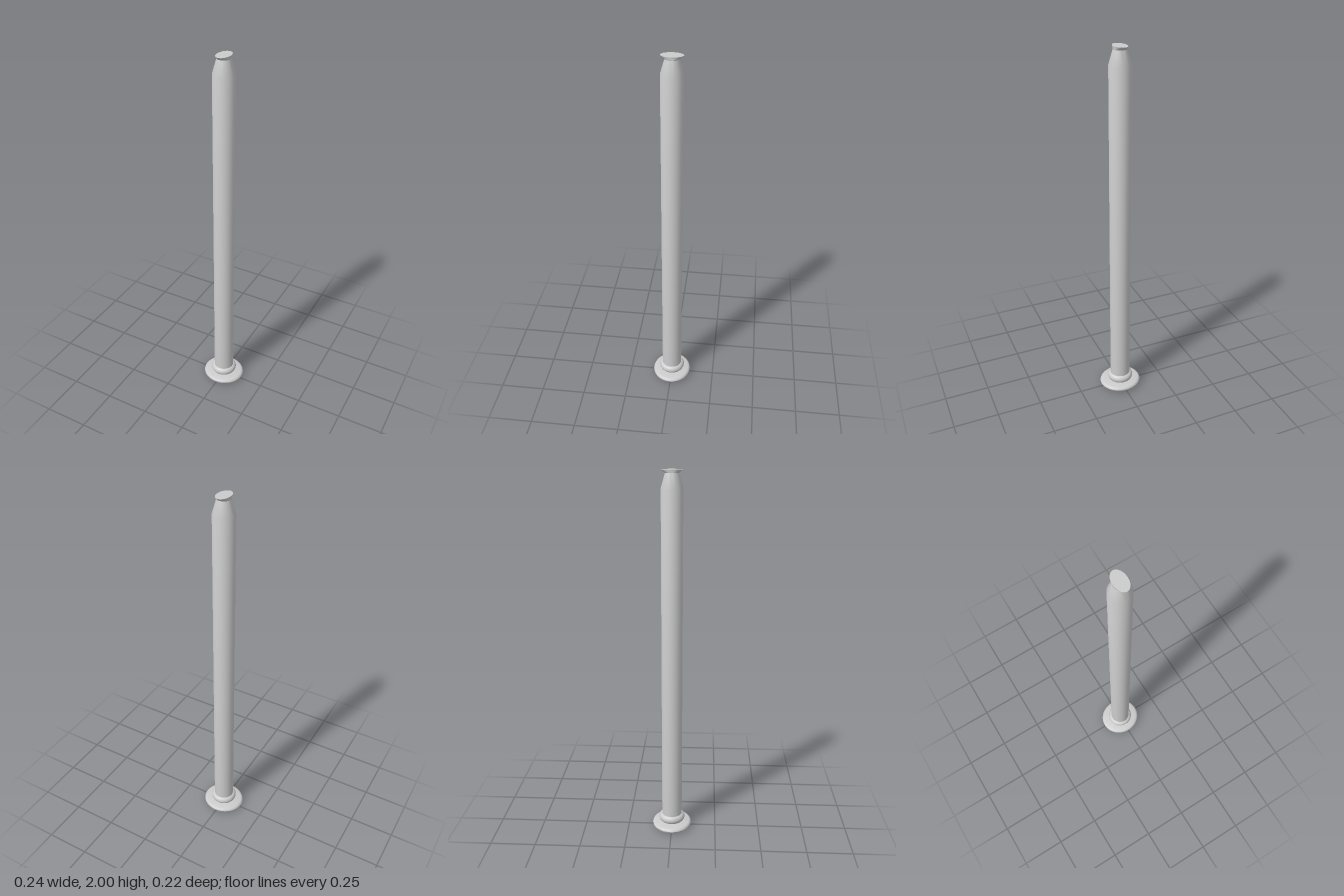
import * as THREE from 'three';
import { toCreasedNormals } from 'three/addons/utils/BufferGeometryUtils.js';

const material = new THREE.MeshStandardMaterial({ color: 0xcccccc });

// Turns a bottom-to-top [radius, y] profile, with an optional z stretch per height
function turned(name, profile, stretchZ = () => 1, sides = 32) {
  const points = profile.map(([r, y]) => new THREE.Vector2(r, y));
  const geometry = new THREE.LatheGeometry(points, sides);
  const p = geometry.attributes.position;
  for (let i = 0; i < p.count; i++) p.setZ(i, p.getZ(i) * stretchZ(p.getY(i)));
  const mesh = new THREE.Mesh(toCreasedNormals(geometry, 0.5), material);
  mesh.name = name;
  return mesh;
}

// Points of a rounded bulge, from its lower to its upper side
function bulge(radius, y, rx, ry, steps) {
  return Array.from({ length: steps + 1 }, (_, i) => {
    const a = -Math.PI / 2 + (Math.PI * i) / steps;
    return [radius + rx * Math.cos(a), y + ry * Math.sin(a)];
  });
}

export function createModel() {
  const group = new THREE.Group();
  group.name = 'pipe';

  // Oval foot plate with a rounded rim
  group.add(turned('footPlate',
    [[0, 0.003], [0.09, 0], ...bulge(0.1, 0.018, 0.019, 0.014, 8), [0.062, 0.037], [0, 0.037]],
    () => 0.925, 48));

  // Collar ring around the foot of the shaft
  group.add(turned('collar',
    [[0, 0.03], [0.062, 0.03], ...bulge(0.05, 0.056, 0.023, 0.024, 12), [0, 0.08]]));

  // Long shaft with a tapered neck
  group.add(turned('shaft',
    [[0.0565, 0.04], [0.0565, 1.91], [0.035, 1.983]]));

  // Oval mouth flaring towards front and back, closed on top
  group.add(turned('mouth',
    [[0.035, 1.983], [0.035, 1.99], [0.035, 1.996], [0.035, 2], [0, 2]],
    (y) => 1 + 0.6 * Math.min(1, Math.max(0, (y - 1.983) / 0.015))));

  return group;
}
